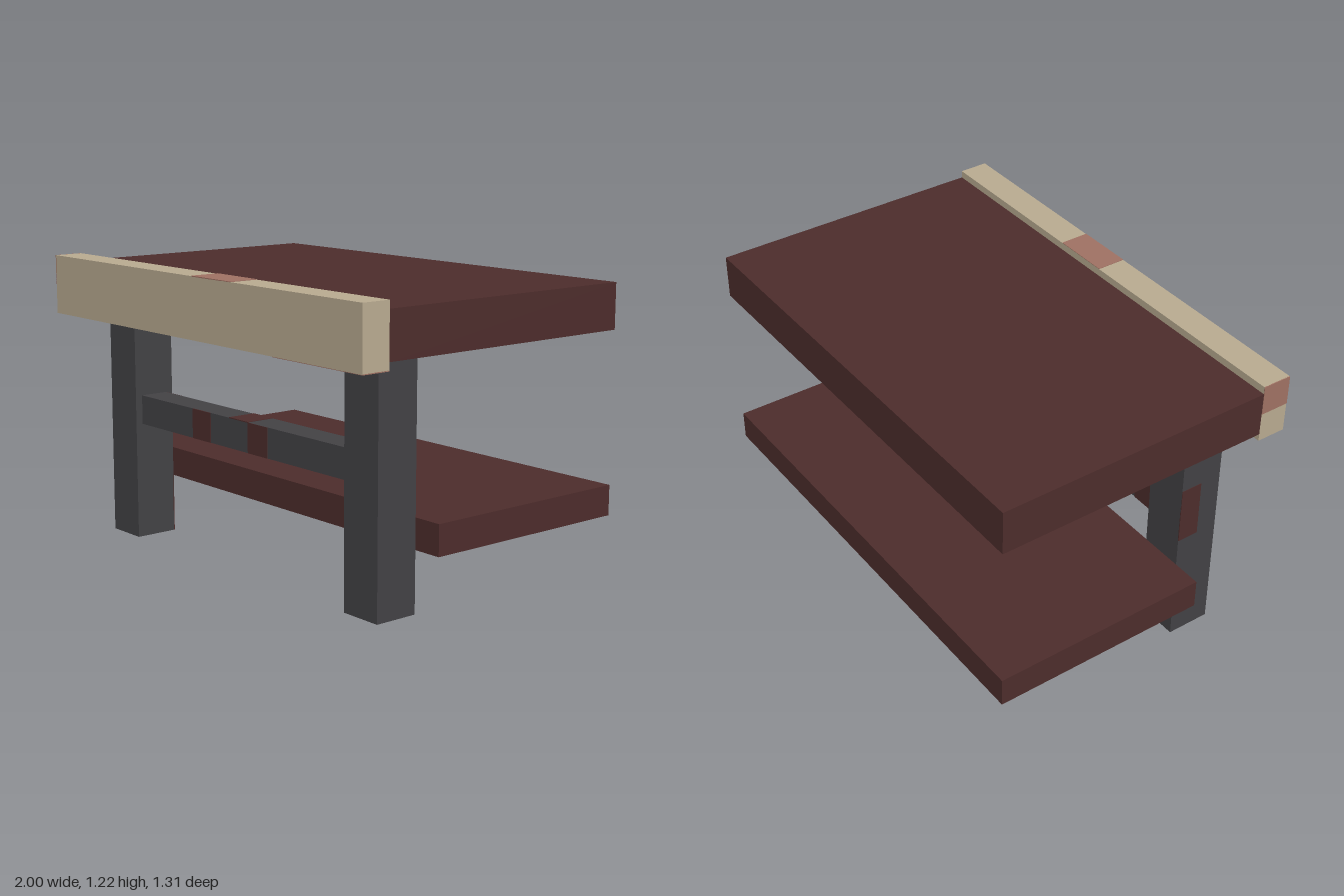
import * as THREE from 'three';

const material = (name, color) => {
  const m = new THREE.MeshStandardMaterial({ color });
  m.name = name;
  return m;
};

export function createModel() {
  const wood = material('darkRedWood', 0x4c2c2b);
  const tan = material('paleTrim', 0xb7a98f);
  const grey = material('darkGrey', 0x424144);
  const pink = material('dustyPink', 0x9e7062);
  const group = new THREE.Group();

  // Box given by its limits on each axis
  const box = (name, mat, [x0, x1], [y0, y1], [z0, z1]) => {
    const mesh = new THREE.Mesh(new THREE.BoxGeometry(x1 - x0, y1 - y0, z1 - z0), mat);
    mesh.position.set((x0 + x1) / 2, (y0 + y1) / 2, (z0 + z1) / 2);
    mesh.name = name;
    group.add(mesh);
  };
  // Thin painted plate range around a face at coordinate c
  const skin = (c) => [c - 0.002, c + 0.002];

  // Table top, front trim and lower shelf
  box('tableTop', wood, [-1, 1], [1, 1.1875], [-0.656, 0.531]);
  box('frontTrim', tan, [-1, 1], [0.969, 1.219], [0.531, 0.656]);
  box('lowerShelf', wood, [-1, 1], [0.25, 0.375], [-0.656, 0.281]);

  // Legs
  for (const [name, s] of [['leftLeg', 1], ['rightLeg', -1]]) {
    const xs = [s * 0.6875, s * 0.875].sort((a, b) => a - b);
    box(name, grey, xs, [0, 1], [0.281, 0.469]);
  }

  // Rail between the legs
  box('crossRail', grey, [-0.6875, 0.6875], [0.5, 0.625], [0.3125, 0.4375]);

  // Painted patches on the rail
  box('railFrontPatch', wood, [-0.3125, -0.1875], [0.5, 0.625], skin(0.4375));
  box('railFrontPatch', wood, [0.0625, 0.1875], [0.5, 0.625], skin(0.4375));
  box('railBackPatch', wood, [-0.6875, -0.5625], [0.5, 0.625], skin(0.3125));
  box('railTopPatch', wood, [-0.0625, 0.0625], skin(0.625), [0.3125, 0.4375]);

  // Painted patches on the right leg
  box('legSidePatch', wood, skin(-0.875), [0.5, 0.75], [0.281, 0.375]);
  box('legBackPatch', wood, [-0.78, -0.6875], [0, 0.25], skin(0.281));

  // Painted patches on the trim
  box('trimTopPatch', pink, [0, 0.25], skin(1.219), [0.531, 0.656]);
  box('trimEndPatch', pink, skin(-1), [1.094, 1.219], [0.531, 0.656]);
  box('trimUnderPatch', pink, [0.5, 1], skin(0.969), [0.531, 0.656]);

  return group;
}
